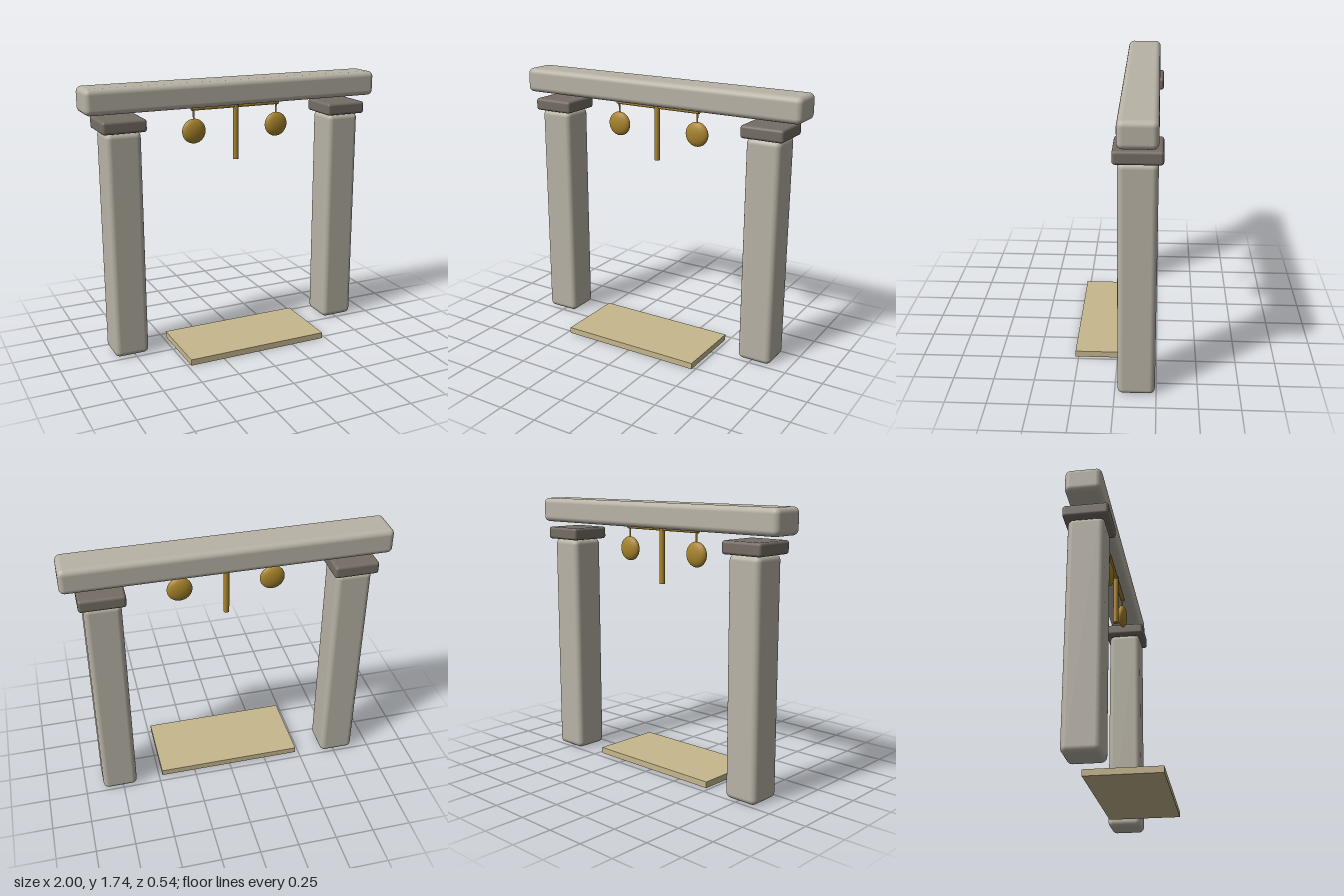
import * as THREE from 'three';
import { RoundedBoxGeometry } from 'three/addons/geometries/RoundedBoxGeometry.js';

const material = (color) => new THREE.MeshStandardMaterial({ color });

export function createModel() {
  const model = new THREE.Group();
  model.name = 'stoneGate';
  const stone = material(0xb8b3a6);
  const darkStone = material(0x756d65);
  const brass = material(0xa8842c);
  const sand = material(0xc6b88e);
  const gateZ = -0.13;
  const chimeZ = -0.09;

  const add = (name, geometry, mat, x, y, z) => {
    const mesh = new THREE.Mesh(geometry, mat);
    mesh.name = name;
    mesh.position.set(x, y, z);
    model.add(mesh);
    return mesh;
  };
  const block = (w, h, d, r) => new RoundedBoxGeometry(w, h, d, 4, r);
  const rod = (r, length) => new THREE.CylinderGeometry(r, r, length, 16);

  // Lintel across the top
  add('lintel', block(2, 0.16, 0.225, 0.035), stone, 0, 1.665, gateZ);

  // Pillars, capitals and hanging discs, mirrored
  for (const [side, s] of [['left', 1], ['right', -1]]) {
    add(side + 'Pillar', block(0.225, 1.47, 0.225, 0.035), stone, s * 0.769, 0.738, gateZ);
    add(side + 'Capital', block(0.28, 0.08, 0.28, 0.018), darkStone, s * 0.77, 1.512, gateZ);
    add(side + 'DiscHanger', rod(0.006, 0.08), brass, s * 0.29, 1.535, chimeZ);
    const disc = add(side + 'Disc', new THREE.SphereGeometry(0.079, 32, 20), brass, s * 0.29, 1.432, chimeZ);
    disc.scale.z = 0.42;
  }

  // Crossbar and central hanging rod
  add('crossbar', rod(0.013, 0.61), brass, 0, 1.575, chimeZ).rotation.z = Math.PI / 2;
  add('centralRod', rod(0.018, 0.36), brass, 0, 1.405, chimeZ);

  // Threshold slab on the ground
  add('thresholdSlab', new THREE.BoxGeometry(0.955, 0.04, 0.47), sand, 0, 0.022, 0.035);

  return model;
}
